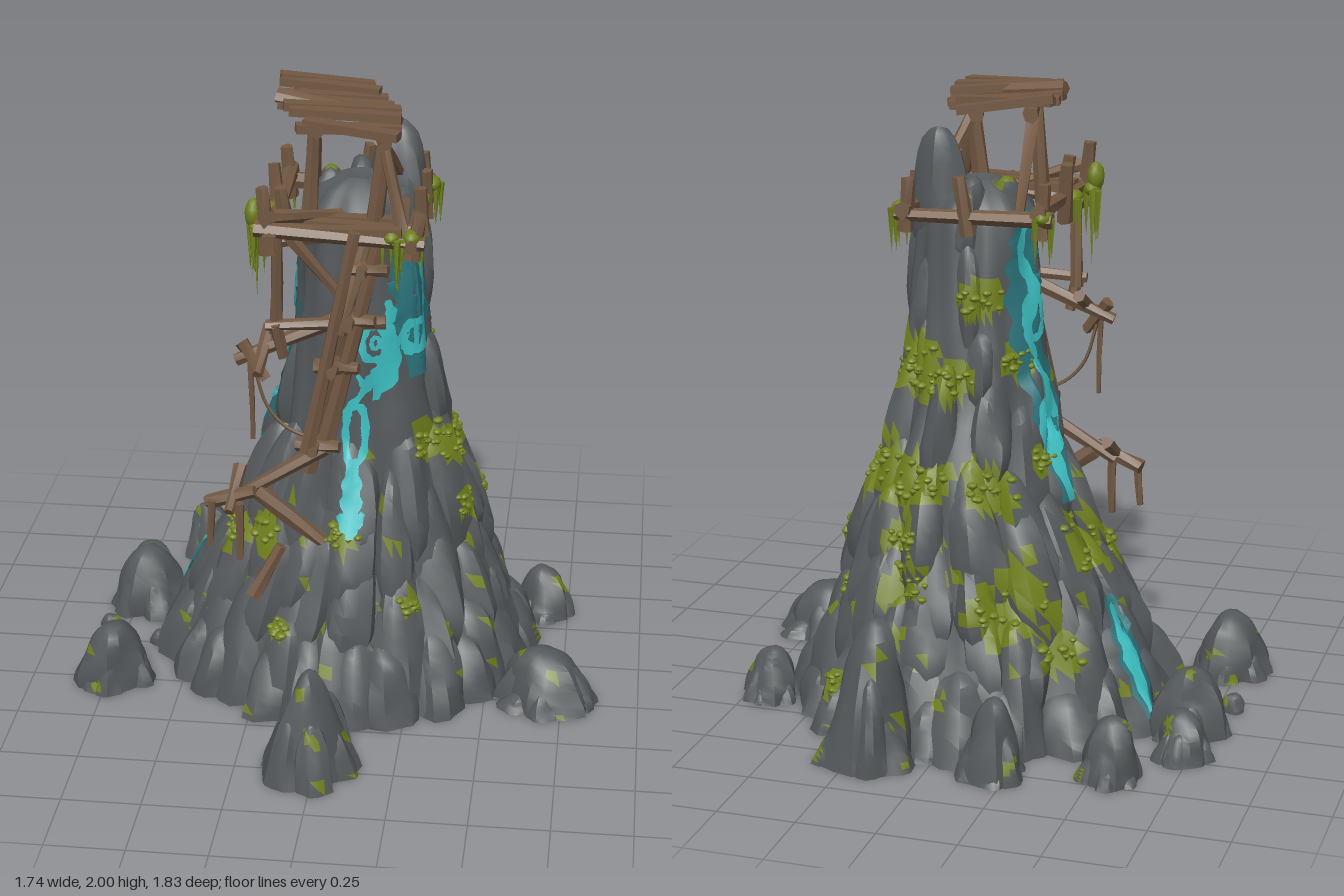
import * as THREE from 'three';
import { mergeGeometries, toCreasedNormals } from 'three/addons/utils/BufferGeometryUtils.js';

const mat = (name, color, side = THREE.FrontSide) => {
  const m = new THREE.MeshStandardMaterial({ color, side });
  m.name = name;
  return m;
};
const V = (x, y, z) => new THREE.Vector3(x, y, z);
let seed = 7;
const rnd = (a = 0, b = 1) => {
  seed = (seed * 16807) % 2147483647;
  return a + (b - a) * (seed / 2147483647);
};

// Outline of the crag: height, x min, x max, z min, z max
const OUTLINE = [
  [0, -.59, .61, -.72, .48], [.2, -.54, .55, -.65, .41], [.4, -.44, .48, -.57, .32],
  [.6, -.28, .41, -.48, .24], [.8, -.21, .36, -.43, .18], [1, -.19, .3, -.33, .16],
  [1.3, -.15, .28, -.27, .145], [1.6, -.13, .26, -.22, .13], [1.7, -.1, .22, -.19, .1],
];
function ellipse(y) {
  let i = 0;
  while (i < OUTLINE.length - 2 && OUTLINE[i + 1][0] < y) i++;
  const a = OUTLINE[i], b = OUTLINE[i + 1];
  const t = Math.min(1, (y - a[0]) / (b[0] - a[0]));
  const [, x0, x1, z0, z1] = a.map((v, k) => v + (b[k] - v) * t);
  return { cx: (x0 + x1) / 2, cz: (z0 + z1) / 2, rx: (x1 - x0) / 2, rz: (z1 - z0) / 2 };
}

// Central mass: a unit lathe stretched onto the outline, with vertical ridges
function coreRock() {
  const pts = [new THREE.Vector2(0, 0)];
  for (let i = 0; i <= 32; i++) pts.push(new THREE.Vector2(1, i * 1.62 / 32));
  pts.push(new THREE.Vector2(.8, 1.67), new THREE.Vector2(.4, 1.7), new THREE.Vector2(0, 1.68));
  const g = new THREE.LatheGeometry(pts, 60), p = g.attributes.position;
  for (let i = 0; i < p.count; i++) {
    const y = p.getY(i), e = ellipse(y), a = Math.atan2(p.getZ(i), p.getX(i));
    const k = .95 + .03 * Math.sin(7 * a + 3 * y) + .025 * Math.sin(12 * a - 4 * y) + .015 * Math.sin(5 * a + 17 * y);
    p.setXYZ(i, e.cx + e.rx * p.getX(i) * k, y, e.cz + e.rz * p.getZ(i) * k);
  }
  return g;
}

// One rounded stone column; (lx, lz) is how far its top leans. Raised columns narrow at the foot.
const DOME = [[0, 0], [1, 0], [1, .1], [.99, .22], [.96, .35], [.92, .47], [.86, .59], [.78, .71], [.67, .82], [.5, .92], [.28, .98], [0, 1]];
function lump(x, z, r, h, y0 = 0, lx = 0, lz = 0, taper = 0) {
  const g = new THREE.LatheGeometry(DOME.map(d => new THREE.Vector2(...d)), 14), p = g.attributes.position;
  const s = [rnd(0, 6), rnd(0, 6), rnd(0, 6)];
  for (let i = 0; i < p.count; i++) {
    const t = p.getY(i), a = Math.atan2(p.getZ(i), p.getX(i));
    const wave = .13 * Math.sin(2 * a + s[0] + t * 2) + .07 * Math.sin(5 * a + s[1]) + .06 * Math.sin(3 * a + s[2] + 7 * t);
    const foot = y0 ? Math.min(1, .5 + 1.6 * t) : 1;
    const k = r * (1 + wave) * (1 - taper * t) * foot;
    const top = h * t * (1 + .12 * Math.sin(a + s[1]) * Math.hypot(p.getX(i), p.getZ(i)));
    p.setXYZ(i, x + p.getX(i) * k + lx * t, y0 + top, z + p.getZ(i) * k + lz * t);
  }
  return g;
}

function cragGeometry() {
  const list = [coreRock()];
  // Tiers of leaning columns: base height, count, radius, column height
  [[0, 22, .1, .22], [0, 19, .1, .36], [.13, 17, .1, .4], [.28, 15, .095, .4], [.42, 13, .085, .4],
    [.58, 11, .08, .36], [.76, 9, .065, .36], [1, 8, .055, .34], [1.2, 7, .045, .32]].forEach(([y0, n, r0, h0], tier) => {
    for (let i = 0; i < n; i++) {
      const a = (i + (tier % 2) / 2 + rnd(-.25, .25)) / n * Math.PI * 2;
      const r = r0 * rnd(.8, 1.2), h = h0 * rnd(.75, 1.25), c = Math.cos(a), s = Math.sin(a);
      if (y0 > .5 && s > .2 || y0 > .9 && c < -.5) continue;
      const e = ellipse(y0), f = ellipse(y0 + h), inset = tier ? r * .9 : r * .6;
      const x = e.cx + (e.rx - inset) * c, z = e.cz + (e.rz - inset) * s;
      list.push(lump(x, z, r, h, y0, (f.cx + (f.rx - r * .55) * c - x) * .86, (f.cz + (f.rz - r * .55) * s - z) * .86));
    }
  });
  // Summit stones
  list.push(lump(.175, -.085, .095, .46, 1.4, .0, -.005), lump(-.04, -.06, .075, .29, 1.42),
    lump(.06, -.15, .08, .32, 1.4), lump(.2, .03, .06, .27, 1.42));
  return list;
}

// Loose boulders around the foot: x, z, radius, height, taper, lean in z
const BOULDERS = [[-.73, .25, .115, .21, .15, 0], [.7, .22, .14, .18, .2, 0], [-.02, .74, .14, .36, .55, .02], [.2, -.75, .145, .44, .3, .06],
  [-.2, -.76, .1, .25, .3, 0], [-.55, -.68, .09, .2, .2, 0], [-.7, -.27, .12, .22, .2, 0], [-.73, -.46, .09, .15, .2, 0],
  [.67, -.38, .09, .17, .2, 0], [-.8, -.07, .035, .06, 0, 0], [-.62, 0, .03, .05, 0, 0]];
function boulderGeometry() {
  return BOULDERS.flatMap(([x, z, r, h, taper, lean]) => {
    const out = [lump(x, z, r, h, 0, 0, lean, taper)];
    for (let i = 0; i < 6 && r > .05; i++) {
      const a = i * 1.047 + rnd(0, .6), c = Math.cos(a) * r, s = Math.sin(a) * r, q = rnd(.34, .48);
      out.push(lump(x + c * .8, z + s * .8, r * q, h * rnd(.3, .75), 0, -c * .3, -s * .3, .2));
    }
    return out;
  });
}

// Rough log between two points
function log(a, b, r = .02) {
  const d = b.clone().sub(a), g = new THREE.CylinderGeometry(r * .85, r * 1.1, d.length(), 6, 2);
  const p = g.attributes.position, tw = rnd(0, 6);
  for (let i = 0; i < p.count; i++) {
    const w = 1 + .15 * Math.sin(3 * Math.atan2(p.getZ(i), p.getX(i)) + p.getY(i) * 25 + tw);
    p.setXYZ(i, p.getX(i) * w, p.getY(i), p.getZ(i) * w);
  }
  g.applyQuaternion(new THREE.Quaternion().setFromUnitVectors(V(0, 1, 0), d.normalize()));
  return g.translate((a.x + b.x) / 2, (a.y + b.y) / 2, (a.z + b.z) / 2);
}
const logs = rows => rows.map(([a, b, c, d, e, f, r]) => log(V(a, b, c), V(d, e, f), r));
const plank = (length, width, x, y, z, yaw, roll) =>
  new THREE.BoxGeometry(length, .026, width).rotateZ(roll).rotateY(yaw).translate(x, y, z);

export function createModel() {
  const root = new THREE.Group();
  const rock = mat('slate rock', 0x54595b), moss = mat('olive moss', 0x70801c), wood = mat('weathered wood', 0x725842);
  const glow = mat('bright teal', 0x3cc0c2, THREE.DoubleSide), haze = mat('deep teal', 0x2b757c, THREE.DoubleSide);
  const add = (name, geos, material, crease = .75) => {
    const g = mergeGeometries(geos.map(q => { const n = q.toNonIndexed(); n.deleteAttribute('uv'); n.deleteAttribute('normal'); return n; }));
    const mesh = new THREE.Mesh(toCreasedNormals(g, crease), material);
    mesh.name = name;
    root.add(mesh);
    return mesh;
  };

  const crag = add('crag', cragGeometry(), rock), boulders = add('boulders', boulderGeometry(), rock);
  const ray = new THREE.Raycaster();
  const cast = (from, dir) => { ray.set(from, dir); return ray.intersectObject(crag)[0]?.point; };
  // Point on the rock at a compass angle (0 = +x, 90 = +z) and height
  const onRock = (deg, y) => {
    const e = ellipse(y), a = deg * Math.PI / 180, d = V(Math.cos(a), 0, Math.sin(a));
    return cast(V(e.cx, y, e.cz).addScaledVector(d, 2), d.negate());
  };

  // Moss patches: angle, height, radius
  const mossSpots = [[38, .84, .08], [20, .79, .09], [0, .77, .09], [-18, .77, .09], [-38, .82, .11], [-60, .8, .11], [-85, .8, .08],
    [-45, 1.14, .11], [-62, 1.1, .07], [20, .6, .06], [-15, .56, .05], [155, .5, .09], [132, .55, .07], [95, .58, .06], [188, .58, .13],
    [250, 1.35, .07], [240, .78, .09], [240, .45, .14], [225, .3, .08], [285, .5, .09], [-70, .62, .08], [200, .85, .06], [-30, .42, .05],
    [-48, .15, .05], [60, .36, .04], [110, .28, .04], [270, 1.1, .07], [215, 1.15, .06]]
    .map(([a, y, r]) => ({ a, r, p: onRock(a, y) })).filter(s => s.p);
  const tufts = [];
  for (const { a, p, r } of mossSpots) {
    for (let i = 0; i < 12; i++) {
      const reach = r / Math.hypot(p.x - .06, p.z + .08) * 52;
      const c = onRock(a + rnd(-1, 1) * reach, p.y + rnd(-.5, .5) * r), s = rnd(.007, .014), l = rnd(.03, .07);
      if (!c) continue;
      tufts.push(new THREE.IcosahedronGeometry(s, 1).scale(1.4, .9, 1.4).translate(c.x, c.y, c.z));
      tufts.push(new THREE.ConeGeometry(s, l, 5).rotateX(Math.PI).translate(c.x, c.y - l / 2, c.z));
    }
  }
  add('mossTufts', tufts, moss);

  // Teal seams laid on the rock; path points are (sideways, height)
  const F = { dir: V(0, 0, 1), side: V(1, 0, 0) }, R = { dir: V(1, 0, 0), side: V(0, 0, 1) };
  const B = { dir: V(-1, 0, -1).normalize(), side: V(-1, 0, 1).normalize() };
  const seam = ({ dir, side }, pts, width, lift, closed = false) => {
    const n = pts.length * 5, pos = [], idx = [], hits = [], back = dir.clone().negate();
    const curve = new THREE.CatmullRomCurve3(pts.map(([s, y]) => V(s, y, 0)), closed);
    for (let i = 0; i <= n; i++) {
      const c = curve.getPoint(i / n), t = curve.getTangent(i / n);
      const w = width * (closed ? 1 : .4 + .6 * Math.sin(Math.PI * i / n)) * (1 + .2 * Math.sin(i * 1.7));
      for (let k = -2; k <= 2; k++) {
        const s = c.x - t.y * w * k / 4, y = c.y + t.x * w * k / 4;
        const h = cast(dir.clone().multiplyScalar(3).addScaledVector(side, s).add(V(0, y, 0)), back);
        hits.push(h);
        pos.push(...(h ? h.clone().addScaledVector(dir, lift) : V(0, 0, 0)).toArray());
      }
    }
    const tri = (...f) => {
      if (f.every(j => hits[j]) && f.every(j => hits[j].distanceTo(hits[f[0]]) < .11)) idx.push(...f);
    };
    for (let i = 0; i < n; i++) for (let k = 0; k < 4; k++) {
      const a = i * 5 + k;
      tri(a, a + 1, a + 5);
      tri(a + 1, a + 6, a + 5);
    }
    const g = new THREE.BufferGeometry();
    g.setAttribute('position', new THREE.Float32BufferAttribute(pos, 3));
    return g.setIndex(idx);
  };
  const ring = (s, y, r, h) => [0, 1, 2, 3, 4, 5].map(i => [s + r * Math.cos(i * 1.047), y + h * Math.sin(i * 1.047)]);
  add('seamHaze', [
    seam(R, [[.06, 1.5], [.05, 1.38], [.03, 1.22], [.03, 1.06]], .15, .006),
    seam(F, [[.21, 1.46], [.225, 1.3], [.24, 1.06]], .06, .006), seam(F, [[.02, 1.45], [.05, 1.38], [.09, 1.3]], .05, .006),
    seam(B, [[-.01, 1.62], [-.01, 1.5], [-.01, 1.35], [.01, 1.15], [.04, .95], [.08, .7]], .16, .008),
    seam(B, [[.15, .4], [.17, .25], [.19, .06]], .1, .008),
  ], haze);
  add('seamGlow', [
    seam(F, ring(.125, 1.2, .042, .06), .024, .011, true), seam(F, ring(.125, 1.2, .012, .02), .014, .011, true),
    seam(F, [[.16, 1.34], [.17, 1.28], [.13, 1.27]], .035, .011), seam(F, [[.15, 1.13], [.12, 1.08], [.08, 1.03]], .045, .011),
    seam(F, [[.07, 1.1], [.1, 1.06], [.14, 1.1]], .025, .011),
    seam(F, ring(.065, .9, .032, .1), .024, .011, true), seam(F, [[.1, 1.05], [.04, .97], [.04, .92]], .03, .011),
    seam(F, [[.06, .82], [.06, .7], [.06, .58]], .065, .011), seam(F, [[.02, .65], [.06, .61], [.1, .66]], .045, .011),
    seam(F, ring(.23, 1.2, .018, .06), .016, .011, true),
    seam(R, [[.05, 1.48], [.02, 1.38], [.01, 1.28], [.04, 1.16]], .045, .011), seam(R, ring(.05, 1.2, .035, .05), .025, .011, true),
    seam(R, [[.12, 1.26], [.11, 1.15], [.13, 1.0]], .035, .011),
    seam(B, [[.01, 1.61], [-.03, 1.48], [.02, 1.36], [-.02, 1.24], [.01, 1.15]], .045, .014), seam(B, ring(.01, 1.28, .04, .07), .024, .014, true),
    seam(B, ring(.035, .95, .045, .09), .028, .014, true), seam(B, [[.0, 1.15], [.05, 1.03], [.03, .88], [.08, .7]], .05, .014),
    seam(B, [[.15, .38], [.16, .25], [.19, .08]], .055, .014),
  ], glow);

  // Give moss-covered faces their own mesh
  for (const mesh of [crag, boulders]) {
    const p = mesh.geometry.attributes.position, nrm = mesh.geometry.attributes.normal;
    const parts = [{ p: [], n: [] }, { p: [], n: [] }], c = V(0, 0, 0);
    for (let i = 0; i < p.count; i += 3) {
      c.set(0, 0, 0);
      for (let k = 0; k < 3; k++) c.add(V(0, 0, 0).fromBufferAttribute(p, i + k));
      c.divideScalar(3);
      const up = nrm.getY(i), speck = Math.sin(c.x * 31 + c.y * 9) * Math.sin(c.z * 29 - c.y * 13 + 1) * Math.sin(c.y * 27 + c.x * 11);
      const mossy = up > .02 && mossSpots.some(s => c.distanceTo(s.p) < s.r * (.95 + .5 * speck)) || up > .2 && speck > .72;
      const t = parts[mossy ? 1 : 0];
      t.p.push(...p.array.slice(i * 3, i * 3 + 9));
      t.n.push(...nrm.array.slice(i * 3, i * 3 + 9));
    }
    parts.forEach((t, k) => {
      const g = new THREE.BufferGeometry();
      g.setAttribute('position', new THREE.Float32BufferAttribute(t.p, 3));
      g.setAttribute('normal', new THREE.Float32BufferAttribute(t.n, 3));
      if (!k) { mesh.geometry = g; return; }
      const m = new THREE.Mesh(g, moss);
      m.name = mesh.name + 'Moss';
      root.add(m);
    });
  }

  // Lookout deck: a jumble of crooked planks, its two far corners cut away
  const deck = logs([[-.15, 1.93, -.19, -.04, 1.93, .27, .023], [.04, 1.91, -.14, .17, 1.91, .3, .023], [-.19, 1.975, .06, .2, 1.93, .14, .022]]);
  for (let i = 0; i < 9; i++) {
    const z = -.17 + i * .056, end = Math.abs(i - 4) / 4;
    deck.push(plank(.38 - .08 * end, .045, (z - .05) * .28, 1.943 + rnd(-.014, .018), z, rnd(-.25, .25), rnd(-.14, -.03)));
  }
  add('deck', deck, wood, .5);
  add('deckSupports', logs([[-.08, 1.58, .18, -.06, 1.93, .18, .025], [.11, 1.5, .2, .16, 1.92, .18, .028],
    [-.06, 1.88, .15, -.1, 1.6, -.15], [.14, 1.87, .15, .18, 1.72, -.02], [.22, 1.62, .28, .15, 1.9, .2]]), wood, .5);

  // Gallery frame around the summit with short posts and a plank walk in front
  const frame = logs([[-.23, 1.63, .31, .29, 1.6, .31, .025], [-.23, 1.61, -.22, .28, 1.6, -.22, .025], [-.19, 1.64, -.25, -.18, 1.61, .36, .025],
    [.25, 1.62, -.25, .25, 1.6, .35, .025], [-.2, 1.57, .25, .28, 1.63, .25], [-.17, 1.68, .33, .02, 1.63, .15]]);
  for (const [x, z] of [[-.19, .31], [.25, .31], [-.19, -.22], [.25, -.22], [-.19, .05], [.26, .08], [.04, -.23], [.26, -.08], [.2, .2], [-.14, .2]])
    frame.push(log(V(x, 1.55, z), V(x + rnd(-.03, .03), rnd(1.69, 1.77), z + rnd(-.03, .03)), .024));
  for (let i = 0; i < 3; i++) frame.push(plank(.4, .042, .02, 1.63, .19 + i * .055, rnd(-.15, .15), rnd(-.04, .04)));
  add('galleryFrame', frame, wood, .5);

  // Leaning scaffold on the front
  const scaffold = logs([[-.08, .78, .21, .1, 1.62, .22, .026], [-.02, .9, .27, .16, 1.64, .28, .026], [-.07, .9, .33, .08, 1.64, .33, .022],
    [-.17, 1.28, .28, -.16, 1.62, .31], [-.13, 1.6, .27, .04, 1.38, .24], [.03, 1.3, .32, .11, 1.6, .22]]);
  for (const [x, y] of [[-.05, .9], [.01, 1.17], [.06, 1.33], [.1, 1.5]]) {
    scaffold.push(log(V(x - .06, y, .27), V(x + .08, y + .01, .3), .022));
    scaffold.push(log(V(x, y, .17), V(x, y + .01, .36), .02));
  }
  add('scaffold', scaffold, wood, .5);

  // Broken outriggers hanging off the scaffold
  add('outriggers', logs([[.17, 1.33, .27, -.2, 1.31, .3], [.02, 1.32, .25, -.3, 1.18, .27, .023], [-.2, 1.27, .2, -.22, 1.17, .36],
    [-.28, 1.24, .27, -.2, 1.13, .3], [-.25, 1.18, .29, -.245, .92, .29, .009], [-.17, 1.32, .3, -.15, 1.2, .28],
    [-.02, .88, .25, -.31, .7, .27, .023], [-.3, .78, .2, -.32, .68, .34], [-.4, .68, .27, -.24, .74, .3, .023], [-.38, .7, .3, -.39, .54, .3, .013],
    [-.29, .7, .31, -.29, .5, .31, .014], [-.24, .73, .27, -.03, .56, .27, .027], [-.25, .37, .31, -.16, .54, .28, .023]]), wood, .5);
  add('rope', [new THREE.TubeGeometry(new THREE.CatmullRomCurve3([V(-.24, 1.16, .28), V(-.2, 1.03, .28), V(-.14, .96, .28), V(-.06, .92, .27)]), 12, .006, 5)], wood);

  // Moss hanging from the gallery
  const strands = [];
  for (const [x, z, len] of [[-.23, .25, .25], [-.21, .1, .16], [.25, .3, .12], [.25, -.05, .12], [.27, -.2, .16], [-.2, -.22, .18], [.19, .3, .2]]) {
    strands.push(new THREE.IcosahedronGeometry(.028, 1).scale(1, .9, 1.5).translate(x, 1.62, z));
    for (let i = 0; i < 6; i++) {
      const l = len * rnd(.5, 1);
      strands.push(new THREE.ConeGeometry(.012, l, 5).rotateX(Math.PI).translate(x + rnd(-.03, .03), 1.62 - l / 2, z + rnd(-.04, .04)));
    }
  }
  strands.push(new THREE.IcosahedronGeometry(.035, 1).scale(.8, 1.4, 1).translate(-.24, 1.66, .25));
  add('hangingMoss', strands, moss);
  return root;
}
